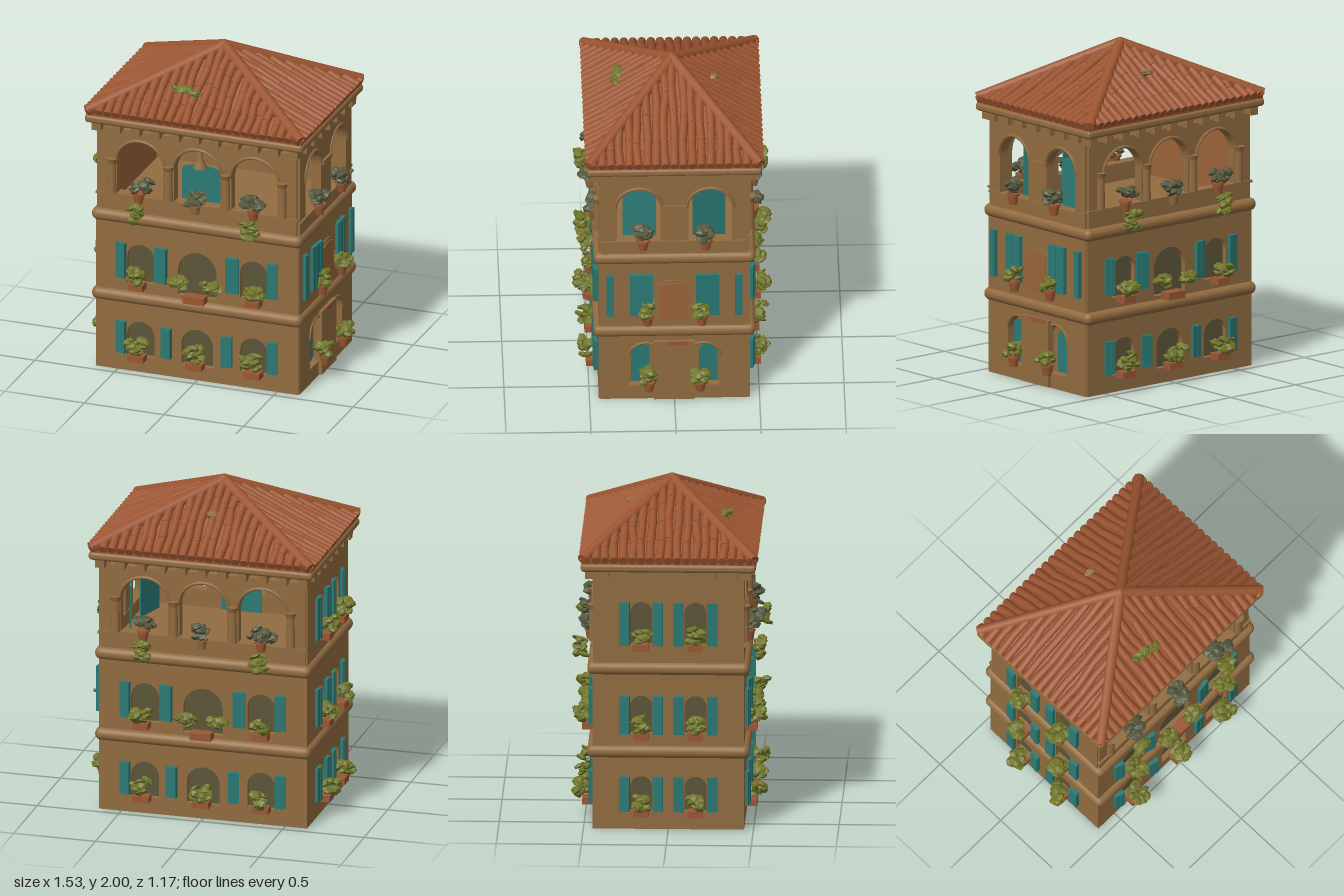
import * as THREE from 'three';
import { mergeGeometries } from 'three/addons/utils/BufferGeometryUtils.js';
import { RoundedBoxGeometry } from 'three/addons/geometries/RoundedBoxGeometry.js';

const mat = (name, color) => new THREE.MeshStandardMaterial({ name, color });
const M = {
  wall: mat('ochre plaster', 0x926c40),
  roof: mat('terracotta tile', 0x9c5531),
  pot: mat('clay', 0x9a5733),
  salmon: mat('salmon plaster', 0x9c6339),
  teal: mat('teal paint', 0x2b7a75),
  glass: mat('olive window', 0x5c5539),
  leaf: mat('olive leaves', 0x71762b),
  dark: mat('dark leaves', 0x56593f),
};

let seed = 7;
const rnd = (a = 0, b = 1) => {
  seed = (seed * 16807) % 2147483647;
  return a + (b - a) * (seed / 2147483647);
};

function add(parent, name, geo, material, x = 0, y = 0, z = 0) {
  const m = new THREE.Mesh(geo, material);
  m.name = name;
  m.position.set(x, y, z);
  parent.add(m);
  return m;
}
const box = (p, name, m, w, h, d, x, y, z) => add(p, name, new THREE.BoxGeometry(w, h, d), m, x, y, z);

// Tapered rod between two points
function rod(a, b, r0, r1) {
  const d = b.clone().sub(a);
  const g = new THREE.CylinderGeometry(r1, r0, d.length(), 10);
  g.applyQuaternion(new THREE.Quaternion().setFromUnitVectors(new THREE.Vector3(0, 1, 0), d.normalize()));
  const c = a.clone().add(b).multiplyScalar(0.5);
  return g.translate(c.x, c.y, c.z);
}

// Round-headed outline, used for both openings and panels
function arch(x, y0, y1, hw, rise = hw, Type = THREE.Path) {
  const s = new Type();
  s.moveTo(x - hw, y0).lineTo(x + hw, y0).lineTo(x + hw, y1 - rise);
  s.absellipse(x, y1 - rise, hw, rise, 0, Math.PI, false);
  return s.closePath();
}
function extrude(p, name, shape, depth, m, z) {
  return add(p, name, new THREE.ExtrudeGeometry(shape, { depth, bevelEnabled: false, curveSegments: 10 }), m, 0, 0, z);
}
const panel = (p, name, m, x, y0, y1, hw, z = -0.04, rise = hw) =>
  extrude(p, name, arch(x, y0, y1, hw, rise, THREE.Shape), 0.008, m, z);

// Storey wall with its outer face at local z = 0
function wall(p, name, w, y0, y1, holes) {
  const s = new THREE.Shape();
  s.moveTo(-w / 2, y0).lineTo(w / 2, y0).lineTo(w / 2, y1).lineTo(-w / 2, y1).closePath();
  s.holes.push(...holes.map((h) => arch(...h)));
  extrude(p, name, s, 0.06, M.wall, -0.06);
}

// Shutter made of narrow upright boards
function shutter(p, x, y, w, h, turn = 0.2) {
  const g = new THREE.Group();
  g.name = 'shutter';
  g.position.set(x, y, 0.016);
  g.rotation.y = turn * Math.sign(x);
  const n = Math.max(2, Math.round(w / 0.033));
  for (let i = 0; i < n; i++)
    box(g, 'shutterBoard', M.teal, w / n, h, i % 2 ? 0.026 : 0.02, (i + 0.5 - n / 2) * (w / n), 0, 0);
  p.add(g);
}

// Clump of crumpled leaves
function foliage(p, x, y, z, w, h, m = M.leaf, d = 0.09, n = 14) {
  const parts = [];
  for (let i = 0; i < n; i++) {
    const g = new THREE.IcosahedronGeometry(rnd(0.026, 0.04), 0);
    g.scale(rnd(0.8, 1.3), rnd(0.35, 0.75), rnd(0.7, 1.2));
    g.rotateX(rnd(-0.8, 0.8)).rotateZ(rnd(-0.6, 0.6));
    g.translate(rnd(-0.5, 0.5) * (w - 0.05), rnd(-0.5, 0.5) * (h - 0.035), rnd(-0.5, 0.5) * (d - 0.04));
    g.deleteAttribute('normal');
    g.computeVertexNormals();
    parts.push(g);
  }
  add(p, 'foliage', mergeGeometries(parts), m, x, y, z);
}
function trough(p, x, y, w = 0.1, h = 0.11) {
  box(p, 'planter', M.pot, w, 0.04, 0.07, x, y, 0.035);
  foliage(p, x, y + 0.025 + h / 2, 0.06, w + 0.035, h, M.leaf, 0.13);
}
function pot(p, x, y, z, m = M.leaf, clay = M.pot, w = 0.13) {
  add(p, 'pot', new THREE.CylinderGeometry(0.034, 0.024, 0.06, 12), clay, x, y, z);
  add(p, 'potRim', new THREE.CylinderGeometry(0.039, 0.039, 0.014, 12), clay, x, y + 0.03, z);
  foliage(p, x, y + 0.075, z, w, 0.1, m, 0.12);
}

// Long elevation, used for front and back
function longSide(g) {
  const lower = [[-0.355, 0.1, 0.32, 0.085], [0, 0.09, 0.32, 0.1], [0.355, 0.1, 0.32, 0.085]];
  const middle = [[-0.355, 0.57, 0.81, 0.085], [0, 0.53, 0.81, 0.12], [0.355, 0.57, 0.81, 0.085]];
  wall(g, 'lowerWall', 1.27, 0, 0.45, lower);
  wall(g, 'middleWall', 1.27, 0.49, 0.96, middle);
  wall(g, 'loggiaWall', 1.25, 0.98, 1.53, [-0.36, 0, 0.36].map((x) => [x, 1.12, 1.46, 0.145]));
  [...lower, ...middle].forEach(([x, a, b, r]) => panel(g, 'window', M.glass, x, a, b, r));
  for (const s of [-1, 1]) {
    shutter(g, s * 0.475, 0.215, 0.062, 0.2);
    shutter(g, s * 0.19, 0.215, 0.066, 0.19);
    shutter(g, s * 0.475, 0.705, 0.062, 0.22);
    shutter(g, s * 0.225, 0.705, 0.08, 0.22);
    trough(g, s * 0.365, 0.56, 0.09, 0.09);
    foliage(g, s * 0.1, 0.63, 0.055, 0.13, 0.08);
    pot(g, s * 0.36, 1.115, 0.02, M.dark, M.pot, 0.17);
    foliage(g, s * 0.355, 1.045, 0.085, 0.115, 0.14);
  }
  for (const x of [-0.365, 0, 0.365]) trough(g, x, 0.105);
  box(g, 'planter', M.pot, 0.13, 0.045, 0.07, 0, 0.53, 0.035);
  pot(g, 0, 1.105, 0.035, M.dark, M.wall, 0.12);
  // Loggia columns, capitals and parapet rail
  for (const x of [-0.535, -0.18, 0.18, 0.535]) {
    add(g, 'column', new THREE.CylinderGeometry(0.024, 0.028, 0.2, 14), M.wall, x, 1.22, 0);
    add(g, 'capital', new THREE.CylinderGeometry(0.036, 0.026, 0.03, 14), M.wall, x, 1.325, 0);
  }
  for (const x of [-0.36, 0, 0.36])
    add(g, 'archTrim', new THREE.TorusGeometry(0.155, 0.01, 6, 20, Math.PI), M.wall, x, 1.315, 0);
  box(g, 'parapetRail', M.wall, 1.27, 0.014, 0.075, 0, 1.113, -0.026);
  for (let i = -5; i <= 5; i++) box(g, 'bracket', M.wall, 0.055, 0.06, 0.11, i * 0.124, 1.55, -0.01);
}

// Entrance end, on the model's left
function doorSide(g) {
  wall(g, 'lowerWall', 0.87, 0, 0.45, [-0.17, 0.17].map((x) => [x, 0.09, 0.38, 0.095]));
  wall(g, 'middleWall', 0.87, 0.49, 0.96, []);
  wall(g, 'loggiaWall', 0.86, 0.98, 1.6, [-0.21, 0.21].map((x) => [x, 1.1, 1.45, 0.128]));
  box(g, 'doorCase', M.wall, 0.24, 0.4, 0.04, 0, 0.205, 0);
  box(g, 'doorLintel', M.pot, 0.13, 0.025, 0.008, 0.02, 0.393, 0.02);
  panel(g, 'blindArchFrame', M.wall, 0, 0.53, 0.825, 0.11, 0.001, 0.05);
  panel(g, 'blindArch', M.salmon, 0, 0.55, 0.805, 0.085, 0.008, 0.025);
  for (const s of [-1, 1]) {
    // Deep side niche with a leaf of the door folded back in its outer half
    panel(g, 'nicheBack', M.wall, s * 0.17, 0.09, 0.38, 0.095, -0.058);
    panel(g, 'nicheHead', M.salmon, s * 0.17, 0.34, 0.378, 0.06, -0.051, 0.03);
    panel(g, 'nicheDoor', M.teal, s * 0.2, 0.1, 0.355, 0.055, -0.044, 0.04);
    add(g, 'nicheTrim', new THREE.TorusGeometry(0.102, 0.008, 6, 20, Math.PI), M.wall, s * 0.17, 0.285, 0);
    add(g, 'archTrim', new THREE.TorusGeometry(0.14, 0.01, 6, 20, Math.PI), M.wall, s * 0.21, 1.322, 0);
    shutter(g, s * 0.195, 0.73, 0.135, 0.28, 0.06);
    shutter(g, s * 0.378, 0.73, 0.042, 0.28, 0.06);
    const leaf = panel(g, 'loggiaShutter', M.teal, 0, 1.0, 1.39, 0.1, 0, 0.04);
    leaf.position.set(s * 0.205, 0, -0.13);
    leaf.rotation.y = s * 0.3;
    pot(g, s * 0.15, 0.12, 0.055);
    pot(g, s * 0.16, 0.57, 0.04, M.leaf, M.pot, 0.11);
    pot(g, s * 0.185, 1.09, 0.03, M.dark);
  }
  box(g, 'pierCapital', M.wall, 0.14, 0.025, 0.02, 0, 1.335, 0.005);
  box(g, 'parapetRail', M.wall, 0.86, 0.014, 0.075, 0, 1.093, -0.026);
}

// Plain end with shuttered windows on every floor
function windowSide(g) {
  const rows = [[0, 0.45, 0.11, 0.32], [0.49, 0.96, 0.58, 0.81], [0.98, 1.6, 1.12, 1.38]];
  rows.forEach(([y0, y1, a, b], i) => {
    const holes = [-0.16, 0.16].map((x) => [x, a, b, 0.065]);
    wall(g, ['lowerWall', 'middleWall', 'upperWall'][i], 0.87, y0, y1, holes);
    for (const h of holes) {
      panel(g, 'window', M.glass, ...h);
      for (const s of [-1, 1]) shutter(g, h[0] + s * 0.098, (a + b) / 2, 0.06, b - a, 0.1);
      trough(g, h[0], a - 0.005, 0.09, 0.1);
    }
  });
  box(g, 'innerLining', M.salmon, 0.75, 0.52, 0.008, 0, 1.27, -0.066);
}

// Hipped roof: solid core, wavering tile rolls on each slope, hip rolls
function makeRoof(root) {
  const L = 0.675, D = 0.505, y0 = 1.643, y1 = 1.965;
  const core = new THREE.ConeGeometry(Math.SQRT2, 1, 4).rotateY(Math.PI / 4).toNonIndexed();
  core.scale(L, y1 - y0 + 0.005, D);
  core.computeVertexNormals();
  add(root, 'roofCore', core, M.roof, 0, (y0 + y1) / 2 - 0.005, 0);
  box(root, 'eaves', M.roof, 2 * L, 0.03, 2 * D, 0, 1.632, 0);
  const rolls = [];
  const slope = (half, depth, n, place) => {
    for (let i = 0; i < n; i++) {
      const t = ((i + 0.5) / n * 2 - 1) * half;
      const f = 1 - Math.abs(t) / half;
      if (f < 0.03) continue;
      const pt = (k, off) => place(t + off, y0 + (y1 - y0) * k, depth * (1 - k) + (k ? 0 : 0.01));
      const steps = Math.ceil(f * 4);
      let from = pt(0, 0);
      for (let j = 1; j <= steps; j++) {
        const to = pt((f * j) / steps, j < steps ? rnd(-0.012, 0.012) : 0);
        rolls.push(rod(from, to, 0.026, 0.024));
        from = to;
      }
    }
  };
  for (const s of [-1, 1]) {
    slope(L, D, 25, (t, y, d) => new THREE.Vector3(t, y, s * d));
    slope(D, L, 19, (t, y, d) => new THREE.Vector3(s * d, y, t));
    for (const q of [-1, 1])
      rolls.push(rod(new THREE.Vector3(s * L, y0 + 0.004, q * D), new THREE.Vector3(0, y1, 0), 0.032, 0.034));
  }
  rolls.push(new THREE.SphereGeometry(0.035, 12, 8).translate(0, y1, 0));
  add(root, 'roofTiles', mergeGeometries(rolls), M.roof);
  // Moss
  for (const [x, y, z] of [[-0.17, 1.782, 0.31], [-0.11, 1.782, 0.31], [-0.06, 1.77, 0.33]])
    foliage(root, x, y, z, 0.09, 0.045, M.leaf, 0.06, 8);
  foliage(root, 0, 1.823, -0.235, 0.05, 0.03, M.wall, 0.05, 4);
}

export function createModel() {
  const root = new THREE.Group();
  root.name = 'villa';
  const sides = [
    ['front', 0, 0.445, longSide], ['back', Math.PI, 0.445, longSide],
    ['leftEnd', Math.PI / 2, 0.64, doorSide], ['rightEnd', -Math.PI / 2, 0.635, windowSide],
  ];
  for (const [name, angle, dist, build] of sides) {
    const g = new THREE.Group();
    g.name = name;
    g.rotation.y = angle;
    g.position.set(Math.sin(angle) * dist, 0, Math.cos(angle) * dist);
    build(g);
    // End-wall brackets under the cornice
    if (dist > 0.5)
      for (let i = -3; i <= 3; i++) box(g, 'bracket', M.wall, 0.055, 0.05, 0.07, i * 0.126, 1.555, 0);
    root.add(g);
  }
  // Floors with rounded string courses, and the cornice
  box(root, 'groundFloor', M.wall, 1.24, 0.02, 0.86, 0, 0.011, 0);
  for (const y of [0.47, 0.975])
    add(root, 'stringCourse', new RoundedBoxGeometry(1.32, 0.076, 0.955, 4, 0.036), M.wall, 0, y, 0);
  add(root, 'cornice', new RoundedBoxGeometry(1.37, 0.05, 1.03, 3, 0.02), M.wall, 0, 1.595, 0);
  box(root, 'loggiaCeiling', M.pot, 1.14, 0.008, 0.76, 0, 1.567, 0);
  // Screen and flared pendant in the middle bay
  panel(root, 'loggiaScreen', M.teal, 0, 1.0, 1.345, 0.12, 0.37, 0.035);
  const flare = [[0.042, 0], [0.034, 0.025], [0.018, 0.06], [0.009, 0.12]].map((p) => new THREE.Vector2(...p));
  add(root, 'pendant', new THREE.LatheGeometry(flare, 14), M.wall, 0, 1.34, 0.4);
  makeRoof(root);
  return root;
}
